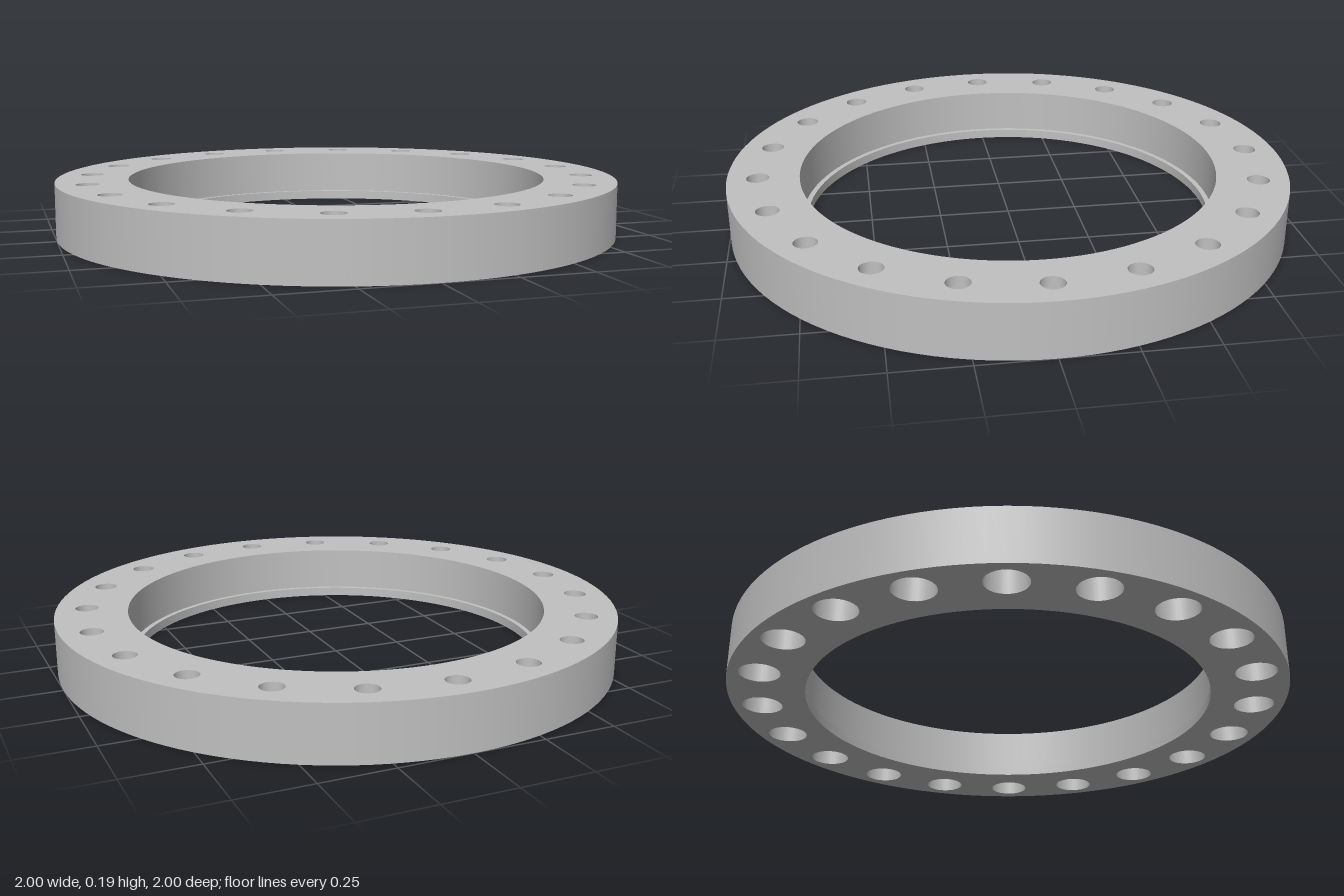
import * as THREE from 'three';
import { mergeGeometries } from 'three/addons/utils/BufferGeometryUtils.js';

const HEIGHT = 0.193, OUTER = 1, BORE = 0.746, LIP = 0.727, LIP_TOP = 0.033;
const HOLES = 20, HOLE_CIRCLE = 0.892, HOLE = 0.04, COUNTERBORE = 0.072, NECK_BOTTOM = 0.16;
const RING_SIDES = 120, HOLE_SIDES = 32;

// Revolves each straight profile segment separately, so corners stay sharp.
// Rising segments face outward, falling ones face the axis.
function revolve(points, sides) {
  const parts = [];
  for (let i = 0; i + 1 < points.length; i++) {
    const segment = [points[i], points[i + 1]].map(([r, y]) => new THREE.Vector2(r, y));
    parts.push(new THREE.LatheGeometry(segment, sides));
  }
  return mergeGeometries(parts);
}

function circle(cx, cy, r, sides) {
  return Array.from({ length: sides }, (_, i) => {
    const a = (i / sides) * Math.PI * 2;
    return new THREE.Vector2(cx + r * Math.cos(a), cy + r * Math.sin(a));
  });
}

const holeAngles = Array.from({ length: HOLES }, (_, i) => (i / HOLES) * Math.PI * 2);

// Flat ring pierced by the bolt circle
function piercedRing(inner, holeRadius) {
  const shape = new THREE.Shape(circle(0, 0, OUTER, RING_SIDES));
  shape.holes.push(new THREE.Path(circle(0, 0, inner, RING_SIDES)));
  for (const a of holeAngles) {
    shape.holes.push(new THREE.Path(
      circle(HOLE_CIRCLE * Math.cos(a), HOLE_CIRCLE * Math.sin(a), holeRadius, HOLE_SIDES)));
  }
  return new THREE.ShapeGeometry(shape);
}

export function createModel() {
  const group = new THREE.Group();
  group.name = 'flangeRing';
  const metal = new THREE.MeshStandardMaterial({ color: 0xc0c0c0 });
  metal.name = 'grey metal';

  const add = (name, geometry) => {
    const mesh = new THREE.Mesh(geometry, metal);
    mesh.name = name;
    group.add(mesh);
    return mesh;
  };

  // Outer rim, and the bore with its small lip at the bottom
  add('outerRim', revolve([[OUTER, 0], [OUTER, HEIGHT]], RING_SIDES));
  add('steppedBore', revolve([[BORE, HEIGHT], [BORE, LIP_TOP], [LIP, LIP_TOP], [LIP, 0]], RING_SIDES));

  // Top and bottom faces
  add('topFace', piercedRing(BORE, HOLE).rotateX(-Math.PI / 2)).position.y = HEIGHT;
  add('bottomFace', piercedRing(LIP, COUNTERBORE).rotateX(Math.PI / 2));

  // Bolt holes: narrow at the top, counterbored from below
  const boltHole = revolve(
    [[HOLE, HEIGHT], [HOLE, NECK_BOTTOM]], HOLE_SIDES);
  const shoulder = revolve(
    [[HOLE, NECK_BOTTOM], [COUNTERBORE, NECK_BOTTOM], [COUNTERBORE, 0]], HOLE_SIDES);
  const holeGeometry = mergeGeometries([boltHole, shoulder]);
  for (const a of holeAngles) {
    add('boltHole', holeGeometry).position.set(HOLE_CIRCLE * Math.cos(a), 0, HOLE_CIRCLE * Math.sin(a));
  }
  return group;
}
